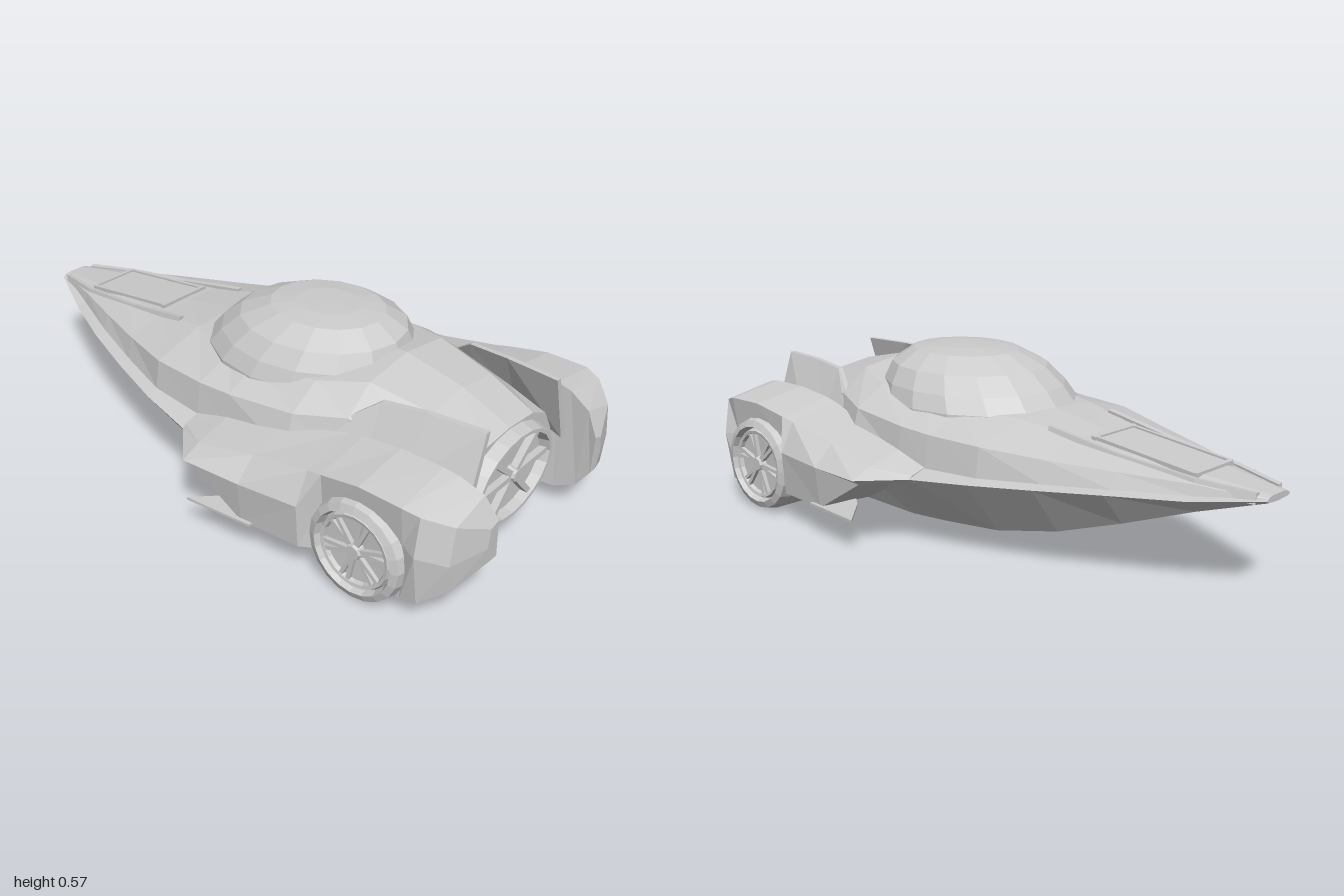
import * as THREE from 'three';

const mat = new THREE.MeshStandardMaterial({ color: 0xcccccc, flatShading: true, side: THREE.DoubleSide });

// Skin a list of rings (counterclockwise seen from +z, running towards +z) and cap both ends
function loft(rings) {
  const n = rings[0].length, pos = rings.flat(2), idx = [];
  for (let i = 0; i < rings.length - 1; i++)
    for (let j = 0; j < n; j++) {
      const a = i * n + j, b = i * n + (j + 1) % n;
      idx.push(a, b, b + n, a, b + n, a + n);
    }
  const e = (rings.length - 1) * n;
  for (let j = 1; j < n - 1; j++) idx.push(0, j + 1, j, e, e + j, e + j + 1);
  const g = new THREE.BufferGeometry();
  g.setAttribute('position', new THREE.Float32BufferAttribute(pos, 3));
  g.setIndex(idx);
  return finish(g);
}

function finish(g) {
  const out = g.index ? g.toNonIndexed() : g;
  out.computeVertexNormals();
  return out;
}

// Copy of a geometry reflected in x with its winding restored
function reflect(geo) {
  const g = geo.index ? geo.toNonIndexed() : geo.clone();
  const p = g.attributes.position, v = [];
  for (let i = 0; i < p.count; i += 3)
    for (const k of [i, i + 2, i + 1]) v.push(-p.getX(k), p.getY(k), p.getZ(k));
  const out = new THREE.BufferGeometry();
  out.setAttribute('position', new THREE.Float32BufferAttribute(v, 3));
  return finish(out);
}

export function createModel() {
  const model = new THREE.Group();
  const add = (name, geo) => {
    const m = new THREE.Mesh(geo, mat);
    m.name = name;
    model.add(m);
    return m;
  };
  const pair = (name, geo) => {
    add(name + 'Left', geo);
    add(name + 'Right', reflect(geo));
  };

  // Hull: z, keel y, then x,y of bilge, outer edge, groove, shoulder, deck; last is deck centre y
  const hull = [
    [-1, .295, .05, .298, .06, .305, .052, .308, .048, .312, .03, .316, .316],
    [-.8, .235, .10, .24, .165, .285, .13, .293, .12, .325, .06, .338, .338],
    [-.6, .155, .17, .175, .26, .28, .22, .287, .20, .335, .10, .36, .36],
    [-.4, .095, .22, .115, .335, .268, .295, .278, .275, .345, .12, .38, .383],
    [-.2, .062, .27, .083, .40, .255, .36, .268, .345, .36, .16, .41, .418],
    [0, .045, .30, .075, .445, .24, .38, .262, .365, .365, .22, .42, .44],
    [.12, .045, .32, .075, .45, .232, .38, .262, .365, .37, .24, .43, .46],
    [.35, .05, .32, .08, .40, .23, .38, .265, .345, .385, .24, .45, .49],
    [.5, .055, .28, .08, .33, .22, .315, .265, .28, .40, .18, .475, .50],
    [.7, .065, .25, .08, .28, .19, .27, .25, .245, .365, .15, .435, .455],
    [.86, .09, .20, .105, .265, .20, .255, .26, .205, .34, .13, .375, .385],
  ].map(([z, keel, ...r]) => {
    const top = r.pop(), half = [];
    for (let i = 0; i < r.length; i += 2) half.push([r[i], r[i + 1], z]);
    return [[0, keel, z], ...half, [0, top, z], ...half.map(([x, y]) => [-x, y, z]).reverse()];
  });
  add('hull', loft(hull));

  // Canopy: oval dome whose crown leans towards +z
  const dome = new THREE.LatheGeometry(
    [[1, .34], [.99, .41], [.92, .46], [.79, .515], [.54, .56], [.3, .57], [0, .572]]
      .map(([r, y]) => new THREE.Vector2(r, y)), 16);
  const dp = dome.attributes.position;
  for (let i = 0; i < dp.count; i++) {
    const y = dp.getY(i);
    dp.setXYZ(i, dp.getX(i) * .3, y, dp.getZ(i) * .35 + .14 + Math.max(0, y - .41) * .4);
  }
  add('canopy', finish(dome));

  // Nose hatch with its frame, and the deck ridges beside it
  const hatchBar = (x0, x1, z0, z1, h0, h1) => {
    const deckY = z => .338 + (z + .8) * .112;
    return loft([z0, z1].map(z => [[x0, deckY(z) + h0, z], [x1, deckY(z) + h0, z], [x1, deckY(z) + h1, z], [x0, deckY(z) + h1, z]]));
  };
  add('hatchPanel', hatchBar(-.085, .085, -.78, -.44, -.02, .003));
  add('hatchFrameFront', hatchBar(-.09, .09, -.795, -.78, -.02, .009));
  add('hatchFrameBack', hatchBar(-.1, .1, -.44, -.425, -.02, .009));
  pair('hatchFrameSide', hatchBar(.083, .095, -.79, -.43, -.02, .009));
  pair('deckRidge', loft([[-.97, .06, .312], [-.8, .105, .327], [-.55, .13, .354], [-.3, .145, .394]].map(([z, x, y]) =>
    [[x - .012, y - .02, z], [x + .012, y - .02, z], [x + .004, y + .012, z], [x - .012, y + .01, z]])));

  // Fenders flowing into shrouds: z, inner bottom, outer bottom, outer middle, outer top, inner top
  const fender = [
    [0, .36, .22, .435, .235, .445, .24, .43, .25, .36, .27],
    [.12, .36, .19, .54, .22, .565, .237, .50, .265, .36, .30],
    [.32, .34, .09, .535, .10, .55, .235, .48, .30, .34, .335],
    [.52, .28, .085, .52, .10, .53, .24, .48, .335, .30, .37],
    [.57, .27, .08, .475, .09, .475, .24, .485, .345, .30, .38],
    [.7, .265, .06, .475, .06, .475, .24, .49, .368, .30, .395],
    [.84, .26, .06, .475, .06, .475, .24, .49, .365, .30, .395],
    [.89, .26, .065, .47, .065, .495, .23, .475, .35, .295, .385],
    [.96, .26, .10, .41, .11, .43, .20, .41, .315, .28, .35],
    [1, .26, .16, .29, .16, .31, .21, .30, .27, .265, .28],
  ].map(([z, ...r]) => [0, 2, 4, 6, 8].map(i => [r[i], r[i + 1], z]));
  pair('fender', loft(fender));

  // Side winglets low on the flanks
  const wing = new THREE.Shape([[.36, -.36], [.545, -.36], [.565, -.13], [.45, -.24]].map(([x, y]) => new THREE.Vector2(x, y)));
  const wingGeo = new THREE.ExtrudeGeometry(wing, { depth: .008, bevelEnabled: false });
  wingGeo.rotateX(-Math.PI / 2).translate(0, .102, 0);
  pair('winglet', finish(wingGeo));

  // Slanted flaps between the body and the shrouds
  pair('flap', loft([[.48, .29, .36, .27, .39], [.58, .29, .32, .225, .465], [.72, .285, .3, .205, .475], [.9, .26, .25, .185, .475]]
    .map(([z, x0, y0, x1, y1]) => [[x0 - .015, y0, z], [x0 + .01, y0, z], [x1 + .01, y1, z], [x1 - .008, y1, z]])));

  // Wheels: tyre with a dished face, rim, hub and spokes
  const wheel = (name, geo) => {
    geo.rotateZ(-Math.PI / 2).translate(0, .16, .7);
    pair(name, finish(geo));
  };
  const lathe = (pts, n) => new THREE.LatheGeometry(pts.map(([r, y]) => new THREE.Vector2(r, y)), n);
  wheel('tyre', lathe([[0, .27], [.1, .27], [.14, .262], [.157, .28], [.16, .32], [.16, .47], [.152, .503], [.13, .512],
    [.122, .488], [0, .484]], 20));
  wheel('rim', lathe([[.1, .484], [.105, .5], [.115, .502], [.122, .486]], 20));
  wheel('hub', new THREE.CylinderGeometry(.022, .032, .026, 8).translate(0, .494, 0));
  for (let i = 0; i < 6; i++) {
    const a = i * Math.PI / 3 + .3;
    for (const d of [-.12, .12])
      wheel('spoke', new THREE.BoxGeometry(.09, .014, .012).translate(.063, .492, 0).rotateY(a + d));
  }

  // Oval exhaust grille on the tail
  const ring = lathe([[1.12, .76], [1.08, .86], [1, .9], [.92, .9], [.88, .868], [0, .866]], 20);
  ring.rotateX(Math.PI / 2).scale(.2, .135, 1).translate(0, .235, 0);
  add('exhaustRing', finish(ring));
  add('exhaustHub', finish(new THREE.CylinderGeometry(.018, .026, .03, 8).rotateX(Math.PI / 2).translate(0, .238, .885)));
  for (const [x, y] of [[.18, 0], [-.18, 0], [.12, .1], [-.12, .1], [.1, -.105], [-.1, -.105]]) {
    const len = Math.hypot(x, y);
    const bar = new THREE.BoxGeometry(len, .018, .022).translate(len / 2, 0, 0);
    add('exhaustBar', finish(bar.rotateZ(Math.atan2(y, x)).translate(0, .236, .88)));
  }
  return model;
}
